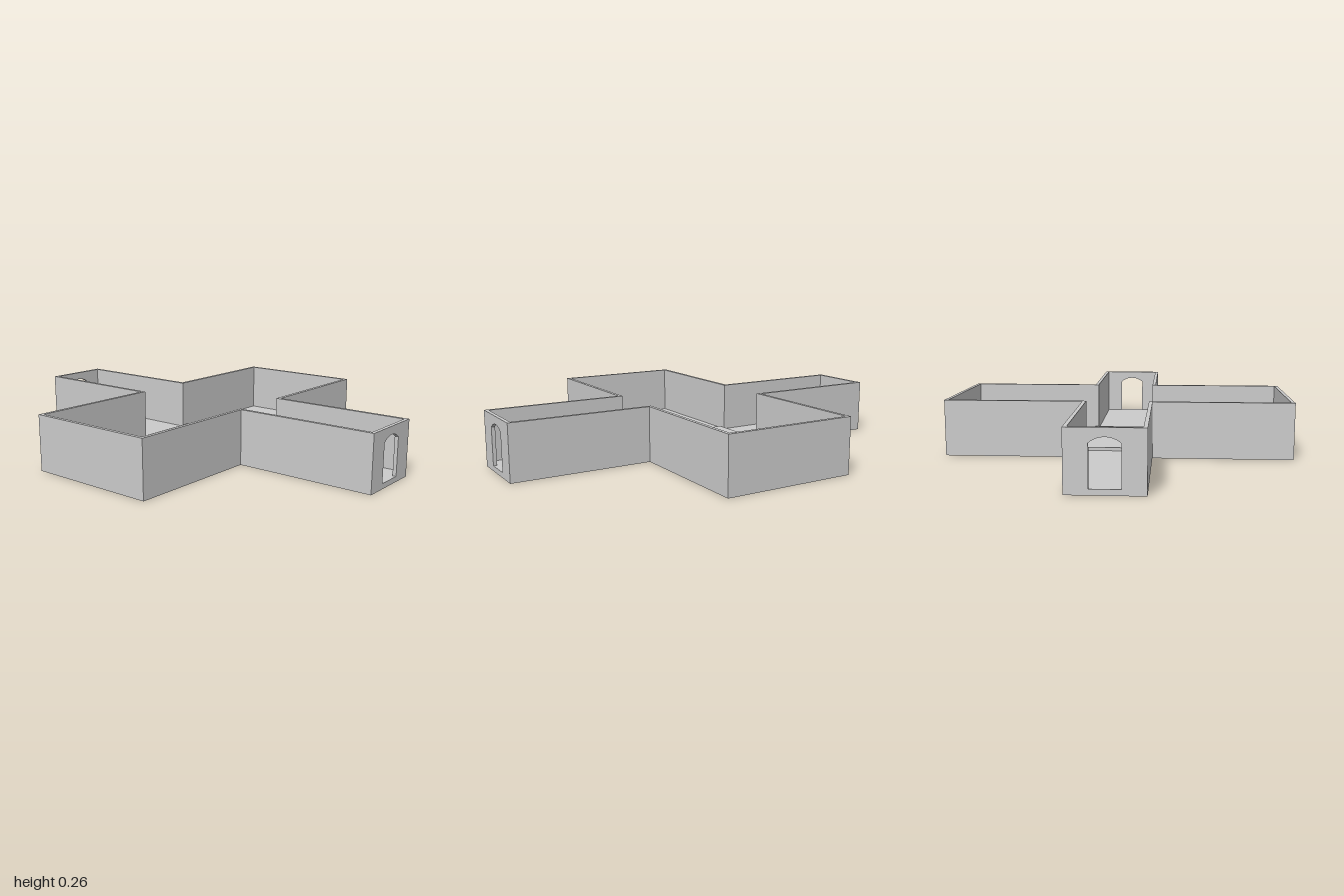
import * as THREE from 'three';

const H = 0.265;           // wall height
const T = 0.017;           // wall thickness
const FLOOR = 0.025;       // floor top
const ARM_X = 1, ARM_W = 0.163;     // passage: half length, half width
const ROOM_Z = 0.815, ROOM_W = 0.323; // room: half length, half width

const material = new THREE.MeshStandardMaterial({ color: 0xcccccc, flatShading: true });

function shapeFrom(points) {
  return new THREE.Shape(points.map(([x, y]) => new THREE.Vector2(x, y)));
}

// Plan (x, z) extruded upward from y = 0
function extrudePlan(points, height) {
  const geometry = new THREE.ExtrudeGeometry(shapeFrom(points), { depth: height, bevelEnabled: false });
  geometry.rotateX(-Math.PI / 2);
  return geometry;
}

// One half of the cross outline, set in by t, from -x to +x on the +z side
function halfOutline(t) {
  const a = ARM_W - t, w = ROOM_W - t, z = ROOM_Z - t;
  return [[-ARM_X, a], [-w, a], [-w, z], [w, z], [w, a], [ARM_X, a]];
}

// End wall with an arched doorway, drawn in (z, y)
function doorWallGeometry() {
  const w = ARM_W - T, d = 0.064, spring = 0.204, rise = 0.024;
  const r = (d * d + rise * rise) / (2 * rise);
  const angle = Math.asin(d / r);
  const wall = shapeFrom([[-w, 0], [w, 0], [w, H], [-w, H]]);
  const door = new THREE.Path();
  door.moveTo(-d, FLOOR);
  door.lineTo(d, FLOOR);
  door.lineTo(d, spring);
  door.absarc(0, spring + rise - r, r, Math.PI / 2 - angle, Math.PI / 2 + angle, false);
  door.lineTo(-d, FLOOR);
  wall.holes.push(door);
  const geometry = new THREE.ExtrudeGeometry(wall, { depth: T, bevelEnabled: false, curveSegments: 12 });
  geometry.rotateY(Math.PI / 2);
  return geometry;
}

export function createModel() {
  const group = new THREE.Group();
  const add = (name, geometry) => {
    const mesh = new THREE.Mesh(geometry, material);
    mesh.name = name;
    group.add(mesh);
    return mesh;
  };

  // Side walls wrapping each room and the passage sides
  const sideWall = extrudePlan([...halfOutline(0), ...halfOutline(T).reverse()], H);
  add('backWalls', sideWall);
  add('frontWalls', sideWall).rotation.y = Math.PI;

  // Passage ends with doorways
  const doorWall = doorWallGeometry();
  add('leftDoorWall', doorWall).position.x = ARM_X - T;
  add('rightDoorWall', doorWall).position.x = -ARM_X;

  // Cross-shaped floor between the walls
  const half = halfOutline(T).map(([x, z]) => [Math.abs(x) === ARM_X ? Math.sign(x) * (ARM_X - T) : x, z]);
  add('floor', extrudePlan([...half, ...half.map(([x, z]) => [-x, -z])], FLOOR));

  // Slightly raised platform at the crossing
  const platform = new THREE.BoxGeometry(0.575, 0.04 - FLOOR, 0.32);
  add('crossingPlatform', platform).position.set(0, (FLOOR + 0.04) / 2, -0.003);

  return group;
}
